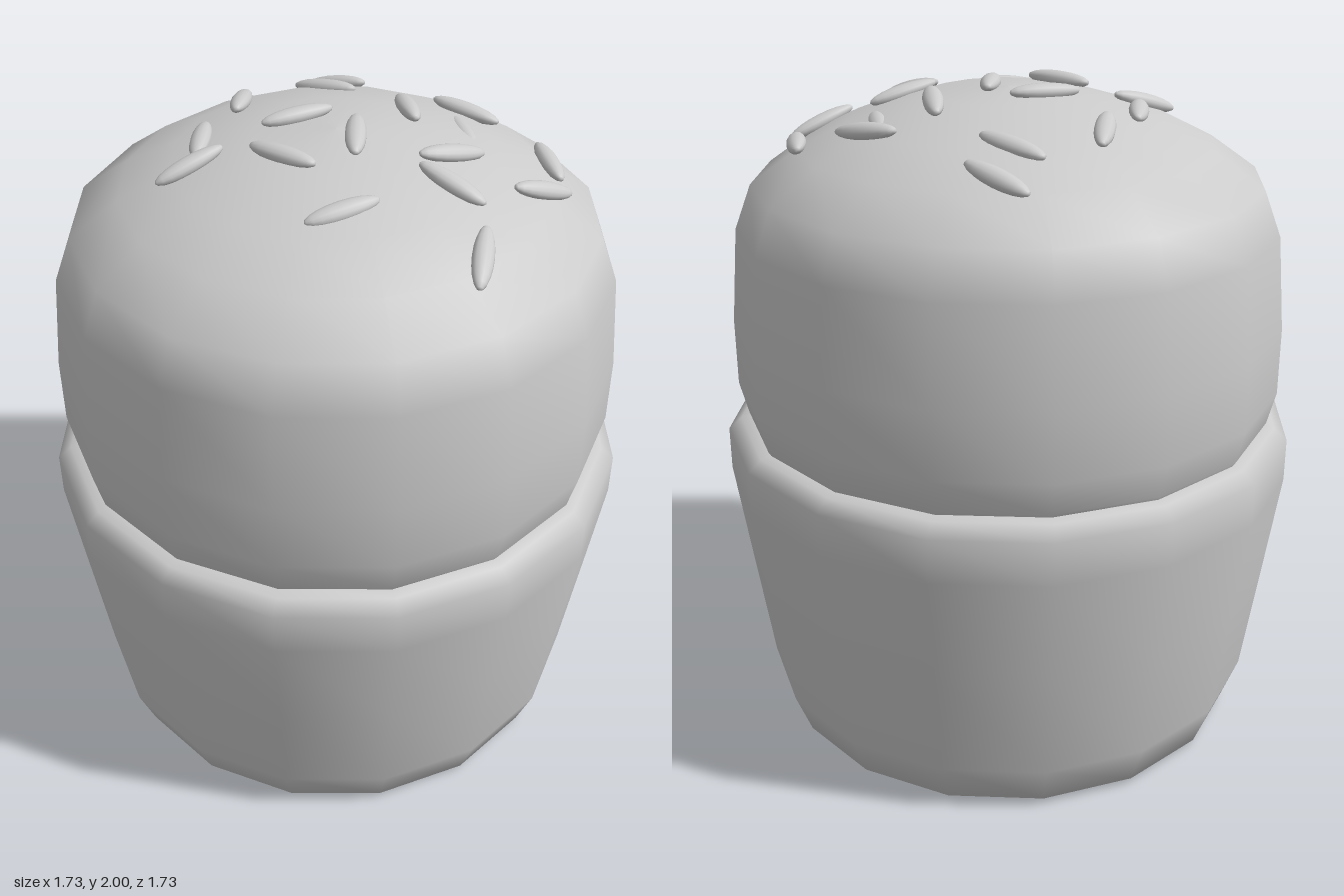
import * as THREE from 'three';

const SIDES = 16;
const material = new THREE.MeshStandardMaterial({ color: 0xcccccc });

// Dome profile: radius, height
const DOME = [[0.78, 0.97], [0.8, 1.0], [0.825, 1.1], [0.825, 1.3], [0.8, 1.58], [0.75, 1.71],
  [0.61, 1.81], [0.46, 1.885], [0.23, 1.955], [0, 1.97]];
const CUP = [[0.61, 0], [0.72, 0.02], [0.77, 0.15], [0.82, 0.5], [0.865, 0.82], [0.865, 0.95],
  [0.825, 0.985], [0.78, 0.99]];

function lathe(name, profile) {
  const points = profile.map(([r, y]) => new THREE.Vector2(r, y));
  const mesh = new THREE.Mesh(new THREE.LatheGeometry(points, SIDES), material);
  mesh.name = name;
  return mesh;
}

// Height and outward slope of the dome top at radius r
function domeAt(r) {
  for (let i = DOME.length - 1; i > 5; i--) {
    const [r0, y0] = DOME[i], [r1, y1] = DOME[i - 1];
    if (r <= r1) {
      const slope = (y1 - y0) / (r1 - r0);
      return { y: y0 + slope * (r - r0), slope };
    }
  }
  return { y: 1.71, slope: -0.7 };
}

// Sprinkles: x, z, direction x, direction z, lift above the surface
const SPRINKLES = [
  [-0.11, -0.55, 41, 16, 0.01], [-0.115, -0.41, 38, 14, 0], [-0.325, -0.23, 5, 45, 0.01],
  [0.315, -0.335, 44, 15, 0.01], [0.57, -0.21, 18, 42, 0.01], [0.165, -0.19, 16, 40, 0.01],
  [0.33, -0.21, 12, 26, -0.018], [-0.12, -0.055, 39, -28, 0.01], [0.32, 0.015, 34, -28, 0.008],
  [0.57, -0.005, 33, -30, 0.01], [0.06, 0.03, 8, 46, 0.008], [-0.375, 0.03, 6, 42, 0.003],
  [-0.365, 0.175, 34, -30, 0.01], [-0.11, 0.17, 44, 18, 0.01], [0.34, 0.155, 42, 17, 0.01],
  [0.085, 0.345, 34, -24, -0.003], [0.45, 0.365, 2, 46, 0.01],
];

export function createModel() {
  const model = new THREE.Group();
  model.name = 'sprinkledBun';
  model.add(lathe('cup', CUP), lathe('dome', DOME));

  // Flat underside, with its corners on the cup's corners
  const base = new THREE.Mesh(new THREE.CircleGeometry(0.61, SIDES), material);
  base.rotation.x = Math.PI / 2;
  base.name = 'base';
  model.add(base);

  // Elongated grains lying tangent to the dome
  const grain = new THREE.SphereGeometry(1, 14, 10).rotateZ(Math.PI / 2).scale(0.107, 0.024, 0.03);
  const sprinkles = new THREE.Group();
  sprinkles.name = 'sprinkles';
  for (const [x, z, dx, dz, lift] of SPRINKLES) {
    const r = Math.hypot(x, z);
    const { y, slope } = domeAt(r);
    const normal = new THREE.Vector3(-slope * x / r, 1, -slope * z / r).normalize();
    const along = new THREE.Vector3(dx, 0, dz);
    along.y = -(along.x * normal.x + along.z * normal.z) / normal.y;
    along.normalize();
    const across = new THREE.Vector3().crossVectors(along, normal);
    const mesh = new THREE.Mesh(grain, material);
    mesh.name = 'sprinkle';
    mesh.quaternion.setFromRotationMatrix(new THREE.Matrix4().makeBasis(along, normal, across));
    mesh.position.set(x, y, z).addScaledVector(normal, lift);
    sprinkles.add(mesh);
  }
  model.add(sprinkles);
  return model;
}
